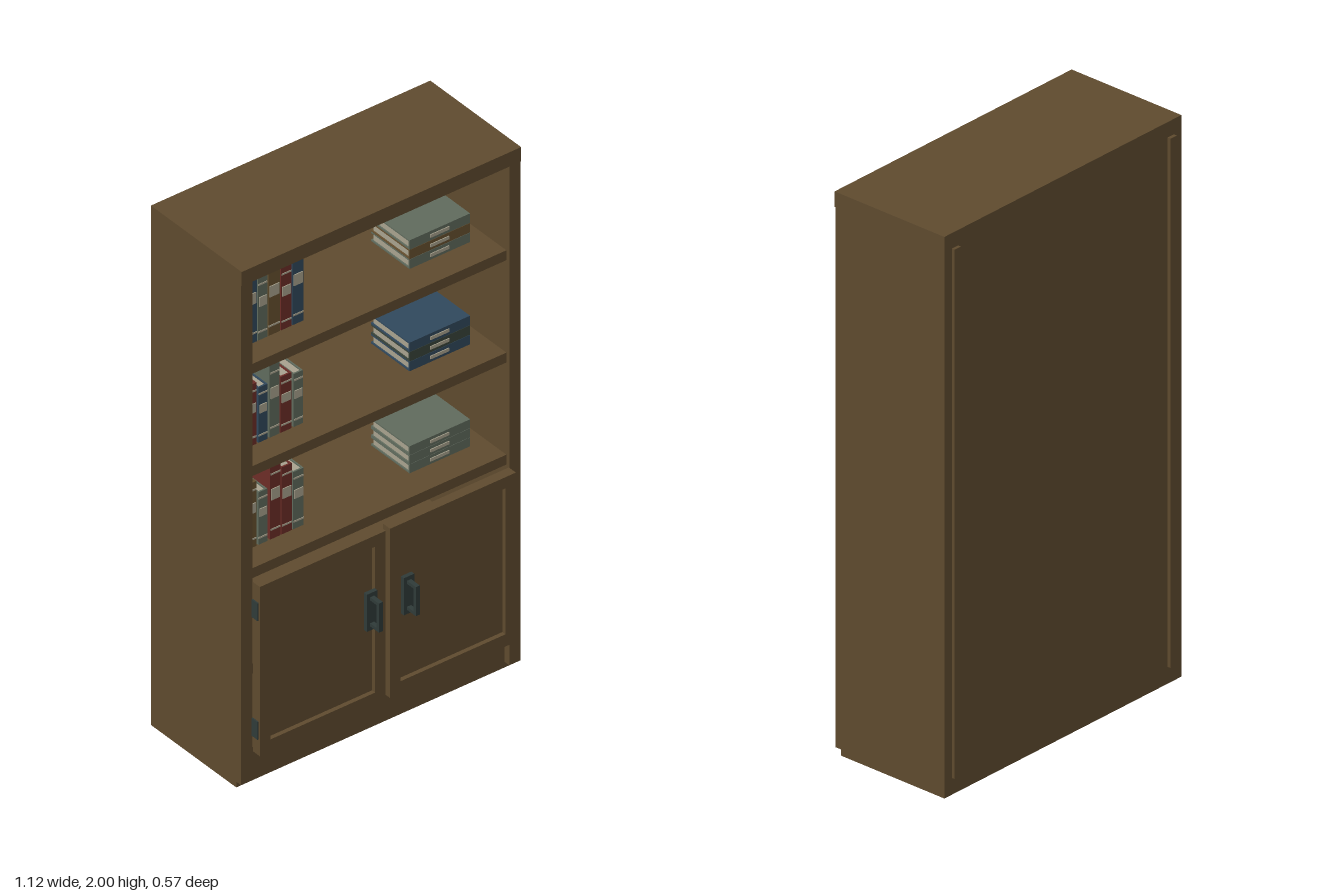
import * as THREE from 'three';

const mat = (name, color, side = THREE.FrontSide) => {
  const m = new THREE.MeshStandardMaterial({ color });
  m.name = name;
  return m;
};

export function createModel() {
  const root = new THREE.Group();
  root.name = 'bookcase';
  const wood = mat('wood', 0x5e4a2e);
  const metal = mat('darkMetal', 0x2f3a38);
  const cream = mat('paper', 0xa8a28e);
  const cover = {
    blue: mat('blueCover', 0x30485c),
    red: mat('redCover', 0x6c2d27),
    green: mat('greyGreenCover', 0x5f6a5c),
    dark: mat('darkGreenCover', 0x38443a),
    brown: mat('brownCover', 0x66502f),
  };

  // Box given by its minimum and maximum along each axis
  const box = (parent, name, m, x0, x1, y0, y1, z0, z1) => {
    const mesh = new THREE.Mesh(new THREE.BoxGeometry(x1 - x0, y1 - y0, z1 - z0), m);
    mesh.position.set((x0 + x1) / 2, (y0 + y1) / 2, (z0 + z1) / 2);
    mesh.name = name;
    parent.add(mesh);
    return mesh;
  };
  const group = (name) => {
    const g = new THREE.Group();
    g.name = name;
    root.add(g);
    return g;
  };
  // Same box on both sides of x = 0
  const pair = (parent, name, m, x0, x1, ...rest) => {
    box(parent, name + 'Left', m, x0, x1, ...rest);
    box(parent, name + 'Right', m, -x1, -x0, ...rest);
  };

  // Carcass
  const carcass = group('carcass');
  pair(carcass, 'sidePanel', wood, 0.517, 0.56, 0, 1.945, -0.273, 0.165);
  pair(carcass, 'frontStile', wood, 0.515, 0.56, 0.022, 1.945, 0.165, 0.19);
  box(carcass, 'topPanel', wood, -0.56, 0.56, 1.945, 2, -0.273, 0.16);
  box(carcass, 'topRail', wood, -0.56, 0.56, 1.945, 2, 0.16, 0.193);
  box(carcass, 'backPanel', wood, -0.517, 0.517, 0, 1.945, -0.273, -0.25);
  box(carcass, 'base', wood, -0.517, 0.517, 0, 0.128, -0.25, 0.165);
  pair(carcass, 'backBatten', wood, 0.495, 0.525, 0.06, 1.945, -0.285, -0.273);

  // Shelves, the lowest one hidden behind the doors
  const shelfTops = [1.612, 1.218, 0.825];
  shelfTops.forEach((y, i) =>
    box(carcass, 'shelf' + (i + 1), wood, -0.515, 0.515, y - 0.038, y, -0.25, 0.175));
  box(carcass, 'cupboardShelf', wood, -0.515, 0.515, 0.397, 0.435, -0.25, 0.15);

  // Doors with raised frame, recessed panel, handle and hinges
  const doorFrame = new THREE.Shape();
  const rect = (p, x0, x1, y0, y1) =>
    p.moveTo(x0, y0).lineTo(x1, y0).lineTo(x1, y1).lineTo(x0, y1).closePath();
  rect(doorFrame, -0.252, 0.252, 0.133, 0.785);
  const opening = new THREE.Path();
  rect(opening, -0.21, 0.21, 0.18, 0.742);
  doorFrame.holes.push(opening);
  const frameGeo = new THREE.ExtrudeGeometry(doorFrame, { depth: 0.016, bevelEnabled: false });

  for (const s of [1, -1]) {
    const side = s > 0 ? 'left' : 'right';
    const door = group(side + 'Door');
    const cx = s * 0.261;
    box(door, 'doorPanel', wood, cx - 0.252, cx + 0.252, 0.133, 0.785, 0.19, 0.21);
    const frame = new THREE.Mesh(frameGeo, wood);
    frame.name = 'doorFrame';
    frame.position.set(cx, 0, 0.21);
    door.add(frame);

    const handle = group(side + 'Handle');
    const hx = s * 0.074;
    box(handle, 'handlePlate', metal, hx - 0.021, hx + 0.021, 0.44, 0.583, 0.225, 0.24);
    box(handle, 'handleGrip', metal, hx - 0.008, hx + 0.008, 0.456, 0.568, 0.273, 0.285);
    for (const y of [0.456, 0.556])
      box(handle, 'handlePost', metal, hx - 0.008, hx + 0.008, y, y + 0.012, 0.24, 0.273);

    for (const y of [0.195, 0.652])
      box(door, 'hinge', metal, s * 0.512 - 0.006, s * 0.512 + 0.006, y, y + 0.068, 0.19, 0.22);
  }

  // Upright books: [colour, left edge, width, height]
  const rows = [
    [['blue', -0.461, 0.046, 0.283], ['green', -0.411, 0.038, 0.243], ['brown', -0.369, 0.047, 0.279],
      ['red', -0.318, 0.042, 0.243], ['blue', -0.272, 0.044, 0.283]],
    [['red', -0.459, 0.043, 0.236], ['blue', -0.409, 0.037, 0.212], ['green', -0.364, 0.039, 0.28],
      ['red', -0.32, 0.044, 0.215], ['green', -0.268, 0.038, 0.204]],
    [['brown', -0.459, 0.042, 0.25], ['green', -0.409, 0.036, 0.202], ['red', -0.362, 0.042, 0.284],
      ['red', -0.316, 0.041, 0.258], ['green', -0.27, 0.043, 0.22]],
  ];
  const front = 0.085, back = -0.115;
  rows.forEach((row, r) => row.forEach(([c, x, w, h], i) => {
    const b = group(`book${r + 1}_${i + 1}`);
    const y = shelfTops[r];
    const x1 = x + w;
    box(b, 'spine', cover[c], x, x1, y, y + h, front - 0.006, front);
    box(b, 'coverBoard', cover[c], x, x + 0.005, y, y + h, back, front - 0.006);
    box(b, 'coverBoard', cover[c], x1 - 0.005, x1, y, y + h, back, front - 0.006);
    box(b, 'pages', cream, x + 0.005, x1 - 0.005, y + 0.004, y + h - 0.005, back + 0.006, front - 0.006);
    box(b, 'spineLabel', cream, x + 0.004, x1 - 0.004, y + h * 0.53, y + h * 0.68, front, front + 0.003);
    for (const f of [0.13, 0.88])
      box(b, 'spineBand', cream, x + 0.001, x1 - 0.001, y + h * f - 0.003, y + h * f + 0.003, front, front + 0.002);
  }));

  // Lying books, stacked from the bottom up
  const stacks = [
    ['green', 'brown', 'green'],
    ['blue', 'dark', 'blue'],
    ['green', 'green', 'green'],
  ];
  stacks.forEach((stack, r) => stack.forEach((c, i) => {
    const b = group(`lyingBook${r + 1}_${i + 1}`);
    const t = [0.111, 0.111, 0.105][r] / 3;
    const y = shelfTops[r] + i * t, y1 = y + t - 0.001;
    const x0 = 0.21, x1 = 0.453, z0 = -0.13, z1 = 0.068;
    box(b, 'spine', cover[c], x0, x1, y, y1, z1 - 0.006, z1);
    box(b, 'coverBoard', cover[c], x0, x1, y, y + 0.005, z0, z1 - 0.006);
    box(b, 'coverBoard', cover[c], x0, x1, y1 - 0.005, y1, z0, z1 - 0.006);
    box(b, 'pages', cream, x0 + 0.005, x1 - 0.005, y + 0.005, y1 - 0.005, z0 + 0.006, z1 - 0.006);
    box(b, 'spineLabel', cream, 0.293, 0.368, y + t * 0.32, y + t * 0.65, z1, z1 + 0.003);
  }));

  return root;
}
